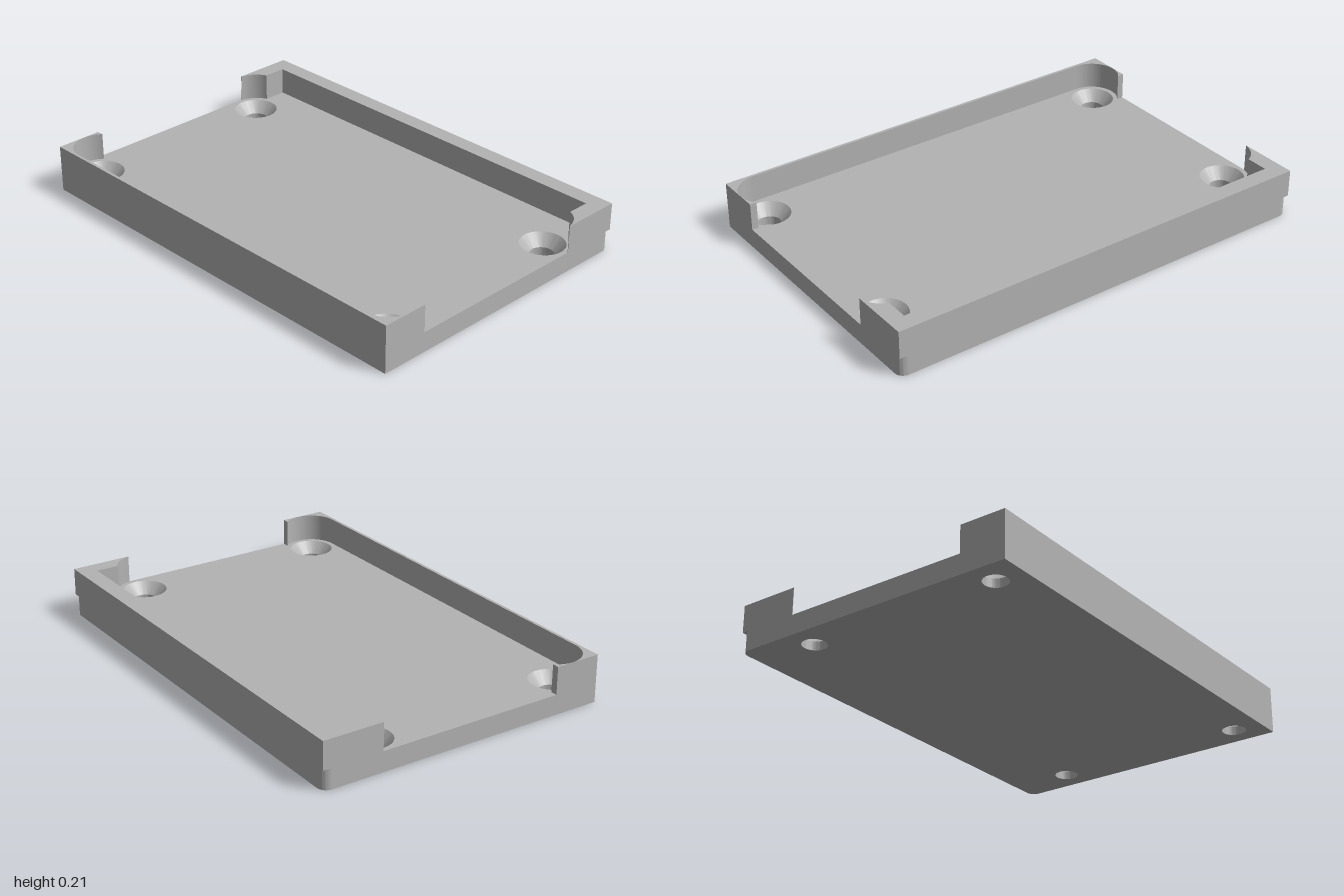
import * as THREE from 'three';
import { toCreasedNormals } from 'three/addons/utils/BufferGeometryUtils.js';

const W = 0.667, L = 1;            // half width and half length
const FLOOR = 0.09, TOP = 0.213;   // floor and rim heights
const CORNER = 0.04;               // rounded base corners on the +x side
const HOLE_X = [-0.535, 0.377], HOLE_Z = 0.88;
const SINK = 0.098, BORE = 0.053;  // countersink and bore radii
const CLEAR = 0.119;               // clearance cut in the rim around each screw

const grey = new THREE.MeshStandardMaterial({ color: 0xb3b3b3 });
grey.name = 'grey plastic';

function addMesh(group, name, geometry) {
  const mesh = new THREE.Mesh(toCreasedNormals(geometry, 0.5), grey);
  mesh.name = name;
  group.add(mesh);
  return mesh;
}

// Extrudes a plan outline upward from y0 to y1.
function slab(shape, y0, y1) {
  const geometry = new THREE.ExtrudeGeometry(shape, { depth: y1 - y0, bevelEnabled: false, curveSegments: 32 });
  return geometry.rotateX(-Math.PI / 2).translate(0, y0, 0);
}

export function createModel() {
  const model = new THREE.Group();
  model.name = 'tray';

  // Floor plate with screw holes and two rounded corners
  const plate = new THREE.Shape();
  plate.moveTo(-W, -L);
  plate.lineTo(W - CORNER, -L);
  plate.absarc(W - CORNER, -L + CORNER, CORNER, -Math.PI / 2, 0, false);
  plate.absarc(W - CORNER, L - CORNER, CORNER, 0, Math.PI / 2, false);
  plate.lineTo(-W, L);
  plate.closePath();
  for (const x of HOLE_X) for (const z of [-HOLE_Z, HOLE_Z]) {
    plate.holes.push(new THREE.Path().absarc(x, z, SINK, 0, Math.PI * 2, true));
  }
  addMesh(model, 'floorPlate', slab(plate, 0, FLOOR));

  // Countersunk seats filling the holes
  const profile = [[SINK, FLOOR], [BORE, 0.04], [BORE, 0], [SINK, 0]].map(p => new THREE.Vector2(...p));
  for (const x of HOLE_X) for (const z of [-HOLE_Z, HOLE_Z]) {
    addMesh(model, 'screwSeat', new THREE.LatheGeometry(profile, 64)).position.set(x, 0, z);
  }

  // Thin rim on the -x side, returning around the corners
  const thinEnd = -0.457;
  const a = Math.acos((thinEnd - HOLE_X[0]) / CLEAR);
  const thin = new THREE.Shape();
  thin.moveTo(-W, -L);
  thin.lineTo(thinEnd, -L);
  thin.absarc(HOLE_X[0], -HOLE_Z, CLEAR, -a, -Math.PI, true);
  thin.absarc(HOLE_X[0], HOLE_Z, CLEAR, Math.PI, a, true);
  thin.lineTo(thinEnd, L);
  thin.lineTo(-W, L);
  thin.closePath();
  addMesh(model, 'thinRim', slab(thin, FLOOR, TOP));

  // Thick rim on the +x side, overhanging the rounded base corners
  const thickEnd = 0.393, inner = 0.59, innerZ = 0.925;
  const b = Math.acos((thickEnd - HOLE_X[1]) / CLEAR);
  const c = Math.asin((innerZ - HOLE_Z) / CLEAR);
  const thick = new THREE.Shape();
  thick.moveTo(W, -L);
  thick.lineTo(W, L);
  thick.lineTo(thickEnd, L);
  thick.absarc(HOLE_X[1], HOLE_Z, CLEAR, b, c, true);
  thick.lineTo(inner, innerZ);
  thick.lineTo(inner, -innerZ);
  thick.absarc(HOLE_X[1], -HOLE_Z, CLEAR, -c, -b, true);
  thick.lineTo(thickEnd, -L);
  thick.closePath();
  addMesh(model, 'thickRim', slab(thick, FLOOR, TOP));

  return model;
}
